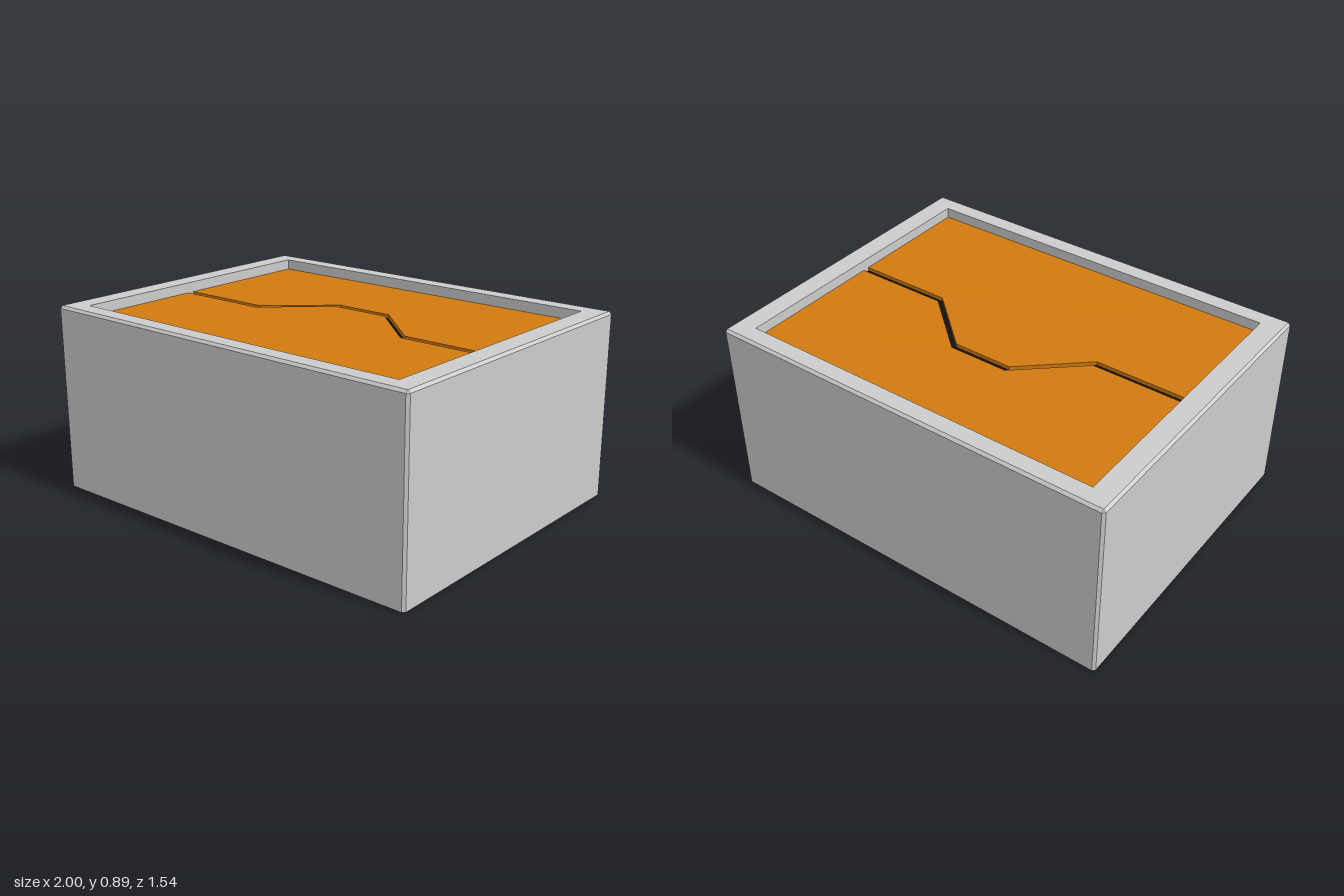
import * as THREE from 'three';

const W = 1.0, D = 0.77, H = 0.89, BEVEL = 0.012;   // outer half sizes, height, edge bevel
const IW = 0.89, ID = 0.68;                          // half sizes of the recess
const PANEL_TOP = 0.84, PANEL_BOTTOM = 0.82;

// Rectangle with cut corners, anticlockwise seen from above
function ring(hx, hz, cut, y) {
  return [
    [-hx + cut, hz], [hx - cut, hz], [hx, hz - cut], [hx, -hz + cut],
    [hx - cut, -hz], [-hx + cut, -hz], [-hx, -hz + cut], [-hx, hz - cut],
  ].map(([x, z]) => [x, y, z]);
}

// Flat-shaded skin through a list of rings
function loft(rings) {
  const pos = [];
  for (let r = 0; r < rings.length - 1; r++) {
    const lo = rings[r], hi = rings[r + 1];
    for (let i = 0; i < lo.length; i++) {
      const j = (i + 1) % lo.length;
      pos.push(...lo[i], ...lo[j], ...hi[j], ...lo[i], ...hi[j], ...hi[i]);
    }
  }
  const geo = new THREE.BufferGeometry();
  geo.setAttribute('position', new THREE.Float32BufferAttribute(pos, 3));
  geo.computeVertexNormals();
  return geo;
}

// Course of the groove across the panel, shifted in z
const groove = (dz) => [
  [-IW, 0.045], [-0.43, 0.045], [-0.145, -0.21],
  [0.145, -0.21], [0.43, 0.045], [IW, 0.045],
].map(([x, z]) => new THREE.Vector2(x, -(z + dz)));

// Outline in x / -z laid flat between two heights
function slab(points, bottom, top) {
  const geo = new THREE.ExtrudeGeometry(new THREE.Shape(points), { depth: top - bottom, bevelEnabled: false });
  geo.rotateX(-Math.PI / 2);
  geo.translate(0, bottom, 0);
  return geo;
}

export function createModel() {
  const model = new THREE.Group();
  const add = (name, geo, mat) => {
    const mesh = new THREE.Mesh(geo, mat);
    mesh.name = name;
    model.add(mesh);
  };
  const grey = new THREE.MeshStandardMaterial({ color: 0xcccccc, side: THREE.DoubleSide, flatShading: true });
  const orange = new THREE.MeshStandardMaterial({ color: 0xd07a10 });
  const black = new THREE.MeshStandardMaterial({ color: 0x111111, side: THREE.DoubleSide });

  // Thin walls, open below, with bevelled edges, a flat rim and a lip down to the panel
  add('housing', loft([
    ring(W, D, BEVEL, 0),
    ring(W, D, BEVEL, H - BEVEL),
    ring(W - BEVEL, D - BEVEL, 0, H),
    ring(IW, ID, 0, H),
    ring(IW, ID, 0, PANEL_BOTTOM),
  ]), grey);

  // Two panel halves either side of the groove
  const half = 0.016;
  const corner = (x, z) => new THREE.Vector2(x, -z);
  add('frontPanel', slab([...groove(half), corner(IW, ID), corner(-IW, ID)], PANEL_BOTTOM, PANEL_TOP), orange);
  add('backPanel', slab([...groove(-half), corner(IW, -ID), corner(-IW, -ID)], PANEL_BOTTOM, PANEL_TOP), orange);

  // Dark floor of the groove
  add('grooveFloor', slab([...groove(half), ...groove(-half).reverse()], PANEL_BOTTOM, PANEL_BOTTOM + 0.002), black);

  return model;
}
